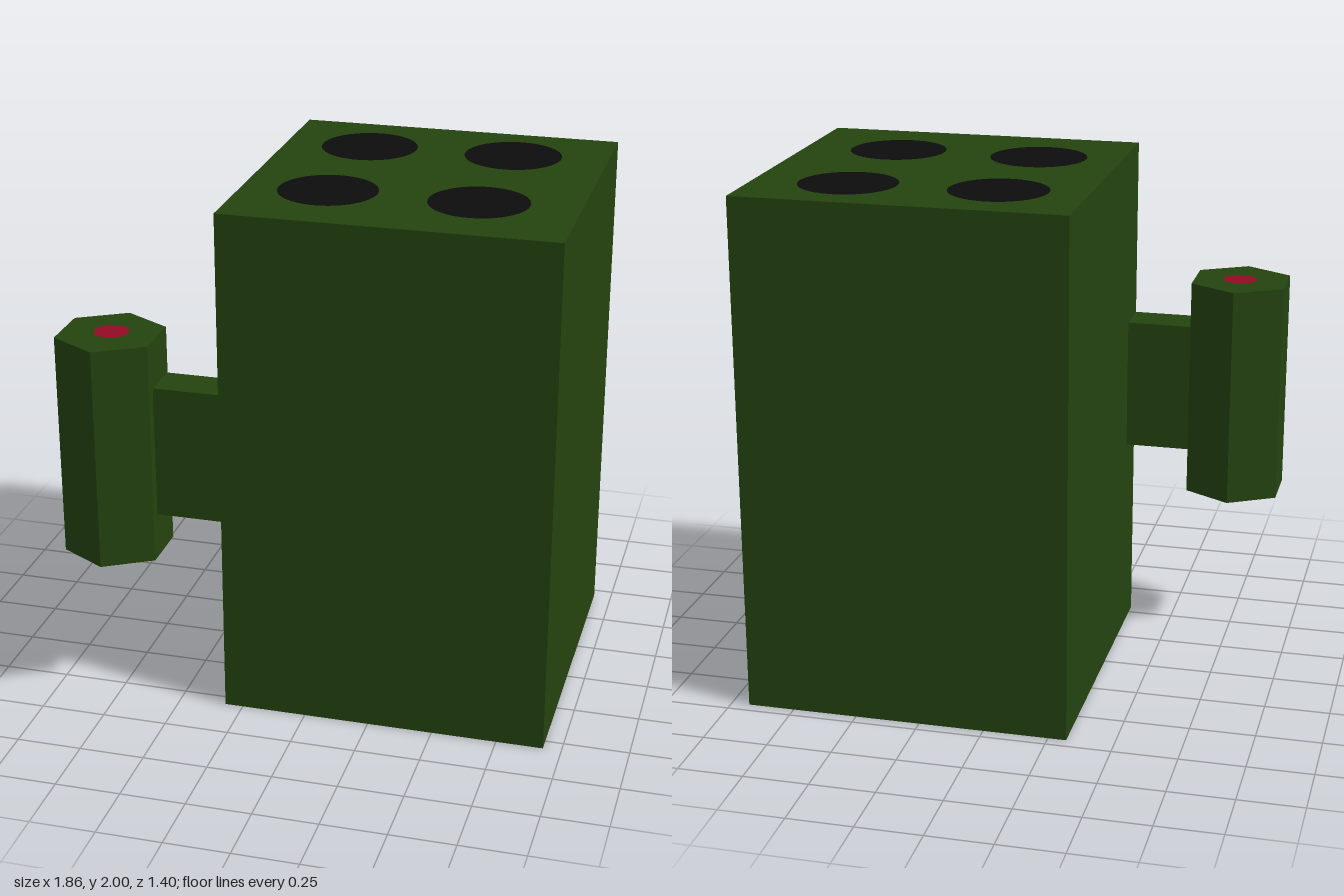
import * as THREE from 'three';

export function createModel() {
  const model = new THREE.Group();
  const green = new THREE.MeshStandardMaterial({ name: 'dark green', color: 0x24430f });
  const black = new THREE.MeshStandardMaterial({ name: 'black', color: 0x0d0d0d });
  const red = new THREE.MeshStandardMaterial({ name: 'crimson', color: 0x920b23 });

  const add = (name, geometry, material, x, y, z) => {
    const mesh = new THREE.Mesh(geometry, material);
    mesh.name = name;
    mesh.position.set(x, y, z);
    model.add(mesh);
    return mesh;
  };
  // Flat disc facing up, just above the surface at height y
  const addDisc = (name, radius, material, x, y, z) => {
    const disc = new THREE.CircleGeometry(radius, 48).rotateX(-Math.PI / 2);
    return add(name, disc, material, x, y + 0.002, z);
  };

  // Main block
  add('body', new THREE.BoxGeometry(1.25, 2, 1.255), green, 0.305, 1, -0.075);

  // Four tube openings on the top, slightly uneven
  [[0.01, -0.39], [0.57, -0.41], [0, 0.19], [0.56, 0.19]].forEach(([x, z], i) =>
    addDisc(`tubeOpening${i + 1}`, 0.186, black, x, 2, z));

  // Side arm, flush with the front of the block
  add('gripArm', new THREE.BoxGeometry(0.28, 0.515, 0.16), green, -0.45, 1.047, 0.472);

  // Six-sided grip with a button on its top
  const grip = new THREE.CylinderGeometry(0.209, 0.209, 0.87, 6).toNonIndexed();
  grip.computeVertexNormals();
  add('grip', grip, green, -0.753, 1.05, 0.49);
  addDisc('triggerButton', 0.066, red, -0.75, 1.485, 0.485);

  return model;
}
